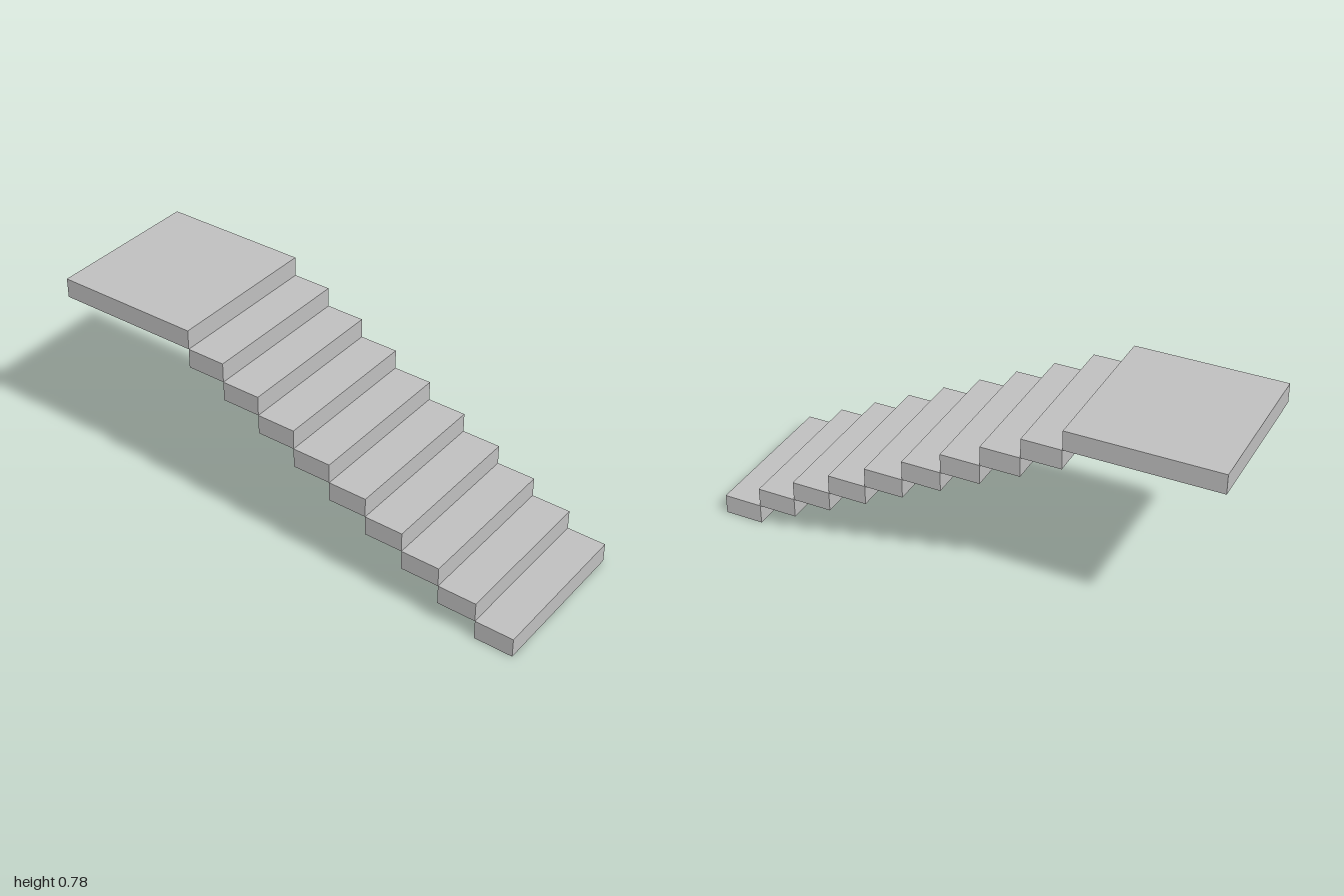
import * as THREE from 'three';

const RISE = 2 / 25.5; // height of every slab
const TREAD = RISE * 2;
const LANDING = RISE * 7.5;
const WIDTH = RISE * 8;
const STEPS = 9;

export function createModel() {
  const stairs = new THREE.Group();
  stairs.name = 'staircase';

  const concrete = new THREE.MeshStandardMaterial({ color: 0xbfbfbf });
  concrete.name = 'concrete grey';

  // One slab, placed by its front edge and its level in the flight
  function addSlab(name, level, frontZ, depth) {
    const slab = new THREE.Mesh(new THREE.BoxGeometry(WIDTH, RISE, depth), concrete);
    slab.name = name;
    slab.position.set(0, (level + 0.5) * RISE, frontZ - depth / 2);
    stairs.add(slab);
  }

  // Steps climbing from front to back
  for (let i = 0; i < STEPS; i++) {
    addSlab(`step${i + 1}`, i, 1 - i * TREAD, TREAD);
  }

  // Platform at the top
  addSlab('landing', STEPS, 1 - STEPS * TREAD, LANDING);

  return stairs;
}
